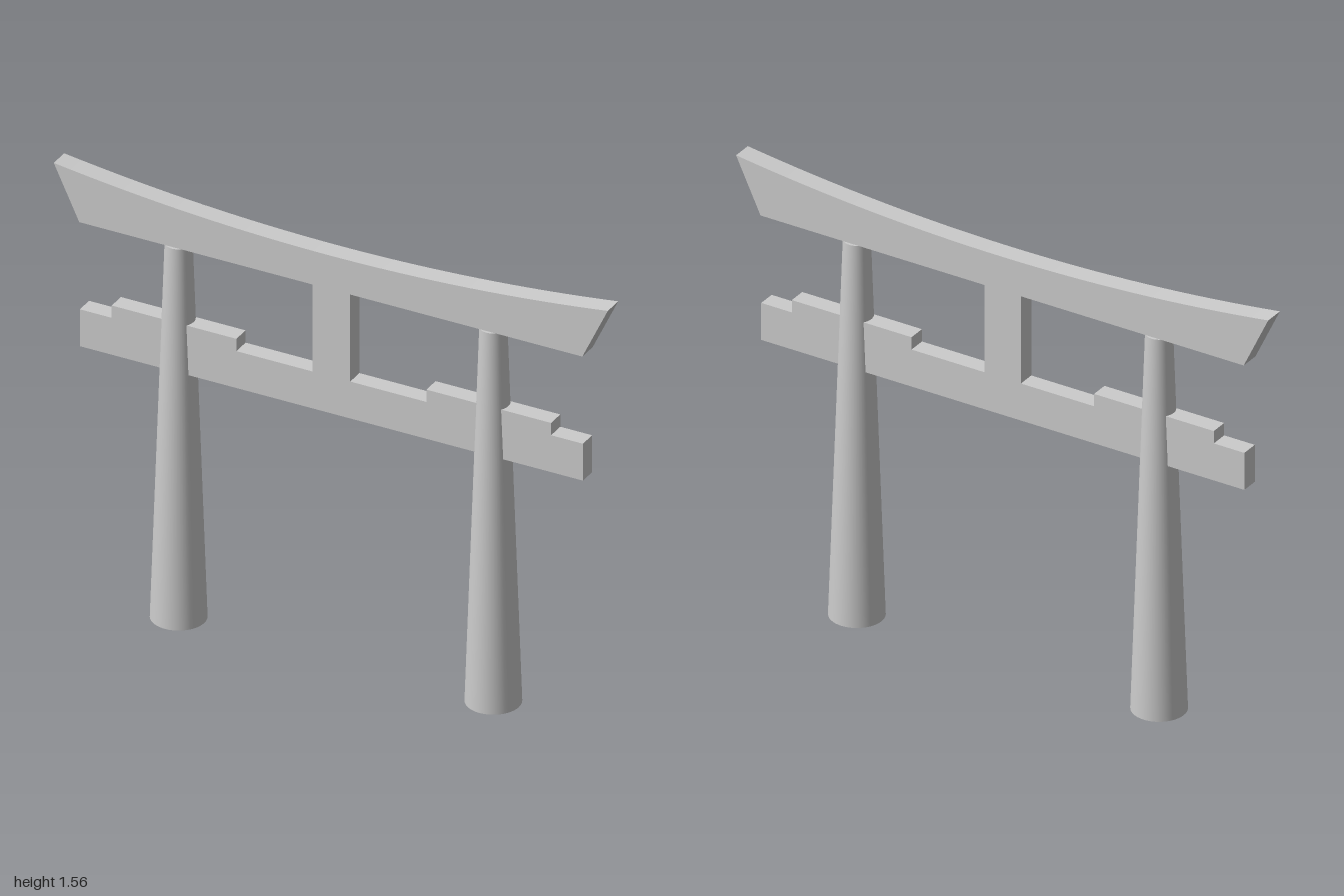
import * as THREE from 'three';

const material = new THREE.MeshStandardMaterial({ color: 0xcccccc });

function add(parent, name, geometry, x = 0, y = 0, z = 0) {
  const mesh = new THREE.Mesh(geometry, material);
  mesh.name = name;
  mesh.position.set(x, y, z);
  parent.add(mesh);
  return mesh;
}

// Box given by its bottom and top heights
function block(parent, name, x, width, bottom, top, depth) {
  return add(parent, name, new THREE.BoxGeometry(width, top - bottom, depth), x, (bottom + top) / 2);
}

export function createModel() {
  const gate = new THREE.Group();
  gate.name = 'gate';

  const pillarTop = 1.368, pillarX = 0.568;
  const tieBottom = 0.912, tieTop = 1.047, tieDepth = 0.062;

  // Tapered round pillars and the stepped wedges around them
  for (const [side, label] of [[1, 'left'], [-1, 'right']]) {
    add(gate, label + 'Pillar', new THREE.CylinderGeometry(0.045, 0.092, pillarTop, 48),
      side * pillarX, pillarTop / 2);
    block(gate, label + 'Wedge', side * pillarX, 0.45, tieTop, 1.092, tieDepth);
  }

  // Lower tie beam and the central strut above it
  block(gate, 'tieBeam', 0, 1.816, tieBottom, tieTop, tieDepth);
  block(gate, 'centreStrut', 0, 0.136, tieTop, pillarTop, tieDepth);

  // Top lintel: flat below, slanted ends, sagging upper edge
  const profile = new THREE.Shape();
  profile.moveTo(-0.908, pillarTop);
  profile.lineTo(0.908, pillarTop);
  profile.lineTo(1, 1.56);
  profile.quadraticCurveTo(0, 1.422, -1, 1.56);
  profile.closePath();
  const depth = 0.07;
  const lintel = new THREE.ExtrudeGeometry(profile, { depth, bevelEnabled: false, curveSegments: 32 });
  add(gate, 'lintel', lintel, 0, 0, -depth / 2);

  return gate;
}
